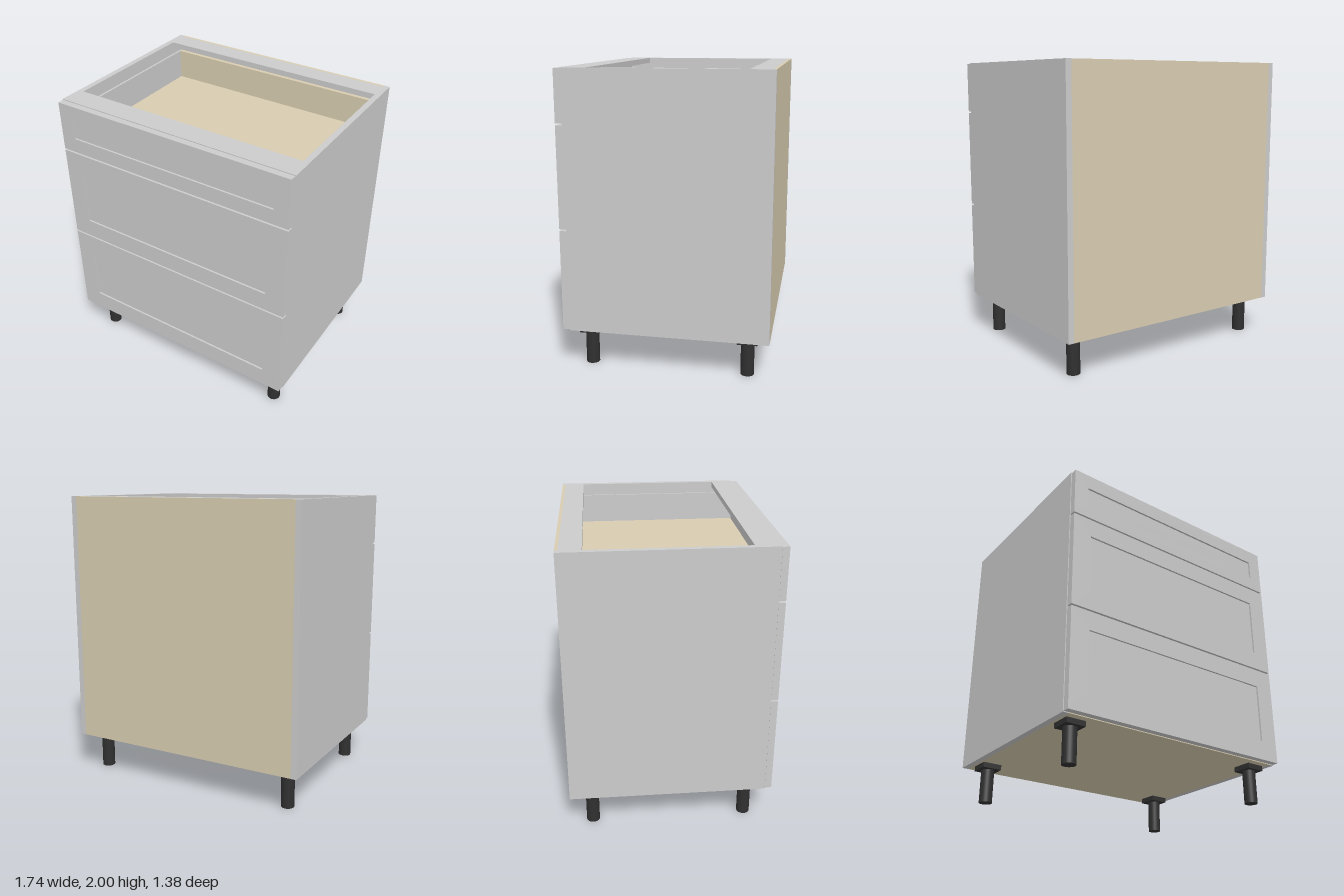
import * as THREE from 'three';

const grey = new THREE.MeshStandardMaterial({ color: 0xcccccc });
const board = new THREE.MeshStandardMaterial({ color: 0xd8ccb0 });
const black = new THREE.MeshStandardMaterial({ color: 0x303030 });

// Box given by its lower and upper limits on each axis
function box(parent, name, material, [x0, x1], [y0, y1], [z0, z1]) {
  const mesh = new THREE.Mesh(new THREE.BoxGeometry(x1 - x0, y1 - y0, z1 - z0), material);
  mesh.position.set((x0 + x1) / 2, (y0 + y1) / 2, (z0 + z1) / 2);
  mesh.name = name;
  parent.add(mesh);
  return mesh;
}

function rectangle(path, halfWidth, y0, y1) {
  path.moveTo(-halfWidth, y0);
  path.lineTo(halfWidth, y0);
  path.lineTo(halfWidth, y1);
  path.lineTo(-halfWidth, y1);
  path.closePath();
  return path;
}

// Drawer: framed front with a recessed panel, thin metal sides, board floor and back
function makeDrawer({ name, y0, y1, panelHalf, panelY0, panelY1, floor, top }) {
  const drawer = new THREE.Group();
  drawer.name = name;

  const shape = rectangle(new THREE.Shape(), 0.865, y0, y1);
  shape.holes.push(rectangle(new THREE.Path(), panelHalf, panelY0, panelY1));
  const frame = new THREE.Mesh(
    new THREE.ExtrudeGeometry(shape, { depth: 0.045, bevelEnabled: false }), grey);
  frame.position.z = 0.645;
  frame.name = 'drawerFrontFrame';
  drawer.add(frame);
  box(drawer, 'drawerFrontPanel', grey, [-panelHalf, panelHalf], [panelY0, panelY1], [0.645, 0.677]);

  box(drawer, 'drawerFloor', board, [-0.8, 0.8], [floor - 0.03, floor], [-0.61, 0.644]);
  box(drawer, 'drawerBack', board, [-0.8, 0.8], [floor, top], [-0.61, -0.58]);
  for (const s of [-1, 1]) {
    const side = box(drawer, 'drawerSide', grey, [-0.0075, 0.0075], [floor - 0.03, top], [-0.61, 0.644]);
    side.position.x = s * 0.8075;
    const runner = box(drawer, 'drawerRunner', grey, [-0.0075, 0.0075], [floor - 0.03, floor + 0.02], [-0.61, 0.6]);
    runner.position.x = s * 0.8225;
  }
  return drawer;
}

// Leg with a square mounting plate
function makeLeg(x, z) {
  const leg = new THREE.Group();
  leg.name = 'leg';
  const post = new THREE.Mesh(new THREE.CylinderGeometry(0.045, 0.045, 0.24, 32), black);
  post.position.y = 0.12;
  post.name = 'legPost';
  leg.add(post);
  box(leg, 'legPlate', black, [-0.068, 0.068], [0.23, 0.265], [-0.068, 0.068]);
  leg.position.set(x, 0, z);
  return leg;
}

export function createModel() {
  const model = new THREE.Group();
  model.name = 'drawerCabinet';

  // Carcass
  box(model, 'rightSide', grey, [-0.87, -0.83], [0.265, 2], [-0.69, 0.643]);
  box(model, 'leftSide', grey, [0.83, 0.87], [0.265, 2], [-0.69, 0.643]);
  box(model, 'backPanel', board, [-0.83, 0.83], [0.265, 2], [-0.69, -0.67]);
  box(model, 'bottomPanel', board, [-0.83, 0.83], [0.265, 0.305], [-0.67, 0.643]);
  box(model, 'backRail', grey, [-0.83, 0.83], [1.96, 2], [-0.67, -0.53]);
  box(model, 'frontRail', grey, [-0.83, 0.83], [1.96, 2], [0.485, 0.643]);

  // Drawers
  const drawers = [
    { name: 'topDrawer', y0: 1.652, y1: 1.996, panelHalf: 0.76, panelY0: 1.755, panelY1: 1.89, floor: 1.71, top: 1.92 },
    { name: 'middleDrawer', y0: 0.963, y1: 1.64, panelHalf: 0.73, panelY0: 1.095, panelY1: 1.51, floor: 1.03, top: 1.42 },
    { name: 'bottomDrawer', y0: 0.27, y1: 0.951, panelHalf: 0.73, panelY0: 0.405, panelY1: 0.82, floor: 0.36, top: 0.75 },
  ];
  for (const d of drawers) model.add(makeDrawer(d));

  // Legs
  for (const x of [-0.745, 0.745])
    for (const z of [-0.54, 0.525]) model.add(makeLeg(x, z));

  return model;
}
